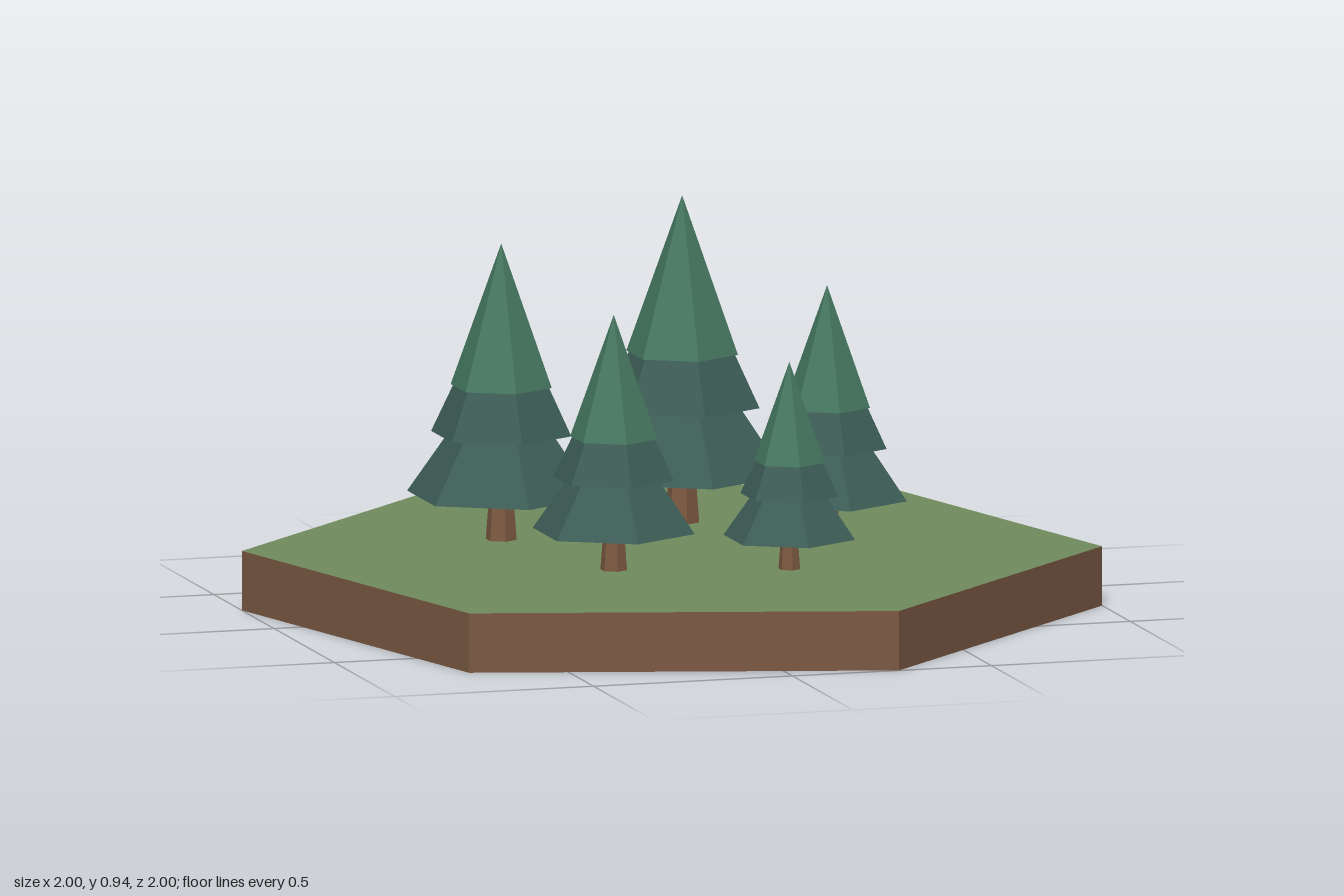
import * as THREE from 'three';

const paint = (name, color) => {
  const m = new THREE.MeshStandardMaterial({ color });
  m.name = name;
  return m;
};

export function createModel() {
  const soil = paint('soil', 0x7b5a44);
  const grass = paint('grass', 0x708b5c);
  const bark = paint('bark', 0x7d5b42);
  const needlesDark = paint('needles dark', 0x3d5d56);
  const needlesLight = paint('needles light', 0x467860);
  const GROUND = 0.145;

  // Six-sided frustum standing between heights y0 and y1, with flat facets
  const hex = (name, material, rTop, rBottom, y0, y1) => {
    const g = new THREE.CylinderGeometry(rTop, rBottom, y1 - y0, 6).toNonIndexed();
    g.computeVertexNormals();
    const mesh = new THREE.Mesh(g, material);
    mesh.name = name;
    mesh.position.y = (y0 + y1) / 2;
    return mesh;
  };

  const model = new THREE.Group();
  model.name = 'forestTile';

  // Hexagonal block of soil with a grass top
  const tile = hex('ground', [soil, grass, soil], 1.035, 1.035, 0, GROUND);
  tile.rotation.y = Math.PI / 12;
  model.add(tile);

  // Pine of unit height, scaled for each spot
  const makePine = () => {
    const pine = new THREE.Group();
    pine.name = 'pine';
    pine.add(
      hex('trunk', bark, 0.036, 0.053, 0, 0.22),
      hex('lowerBranches', needlesDark, 0.17, 0.322, 0.152, 0.37),
      hex('middleBranches', needlesDark, 0.158, 0.24, 0.357, 0.53),
      hex('treeTop', needlesLight, 0, 0.173, 0.518, 1)
    );
    return pine;
  };

  // x, z, height
  [
    [0.133, -0.355, 0.797],
    [-0.355, -0.245, 0.722],
    [0.407, -0.057, 0.613],
    [-0.22, 0.243, 0.622],
    [0.188, 0.353, 0.505]
  ].forEach(([x, z, height]) => {
    const pine = makePine();
    pine.position.set(x, GROUND, z);
    pine.scale.setScalar(height);
    model.add(pine);
  });

  return model;
}
